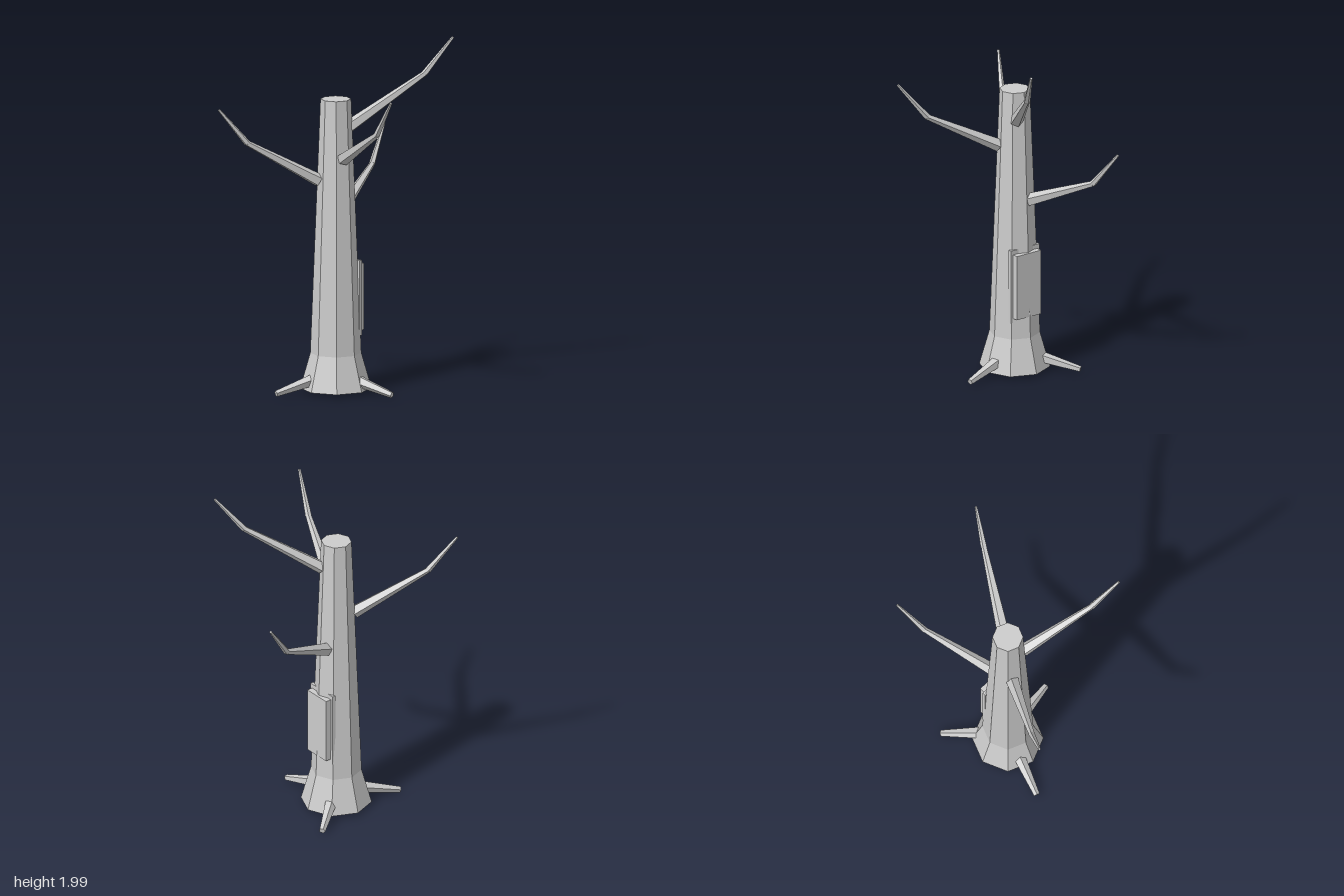
import * as THREE from 'three';

const CX = -0.028, CZ = -0.152; // trunk axis

export function createModel() {
  const model = new THREE.Group();
  model.name = 'deadTree';
  const bark = new THREE.MeshStandardMaterial({ color: 0xcccccc, flatShading: true });
  bark.name = 'pale grey';

  function add(parent, name, geometry, x, y, z) {
    const mesh = new THREE.Mesh(geometry, bark);
    mesh.name = name;
    mesh.position.set(x, y, z);
    parent.add(mesh);
    return mesh;
  }

  // Tapered five-sided limb between two points
  function limb(parent, name, from, to, r0, r1) {
    const a = new THREE.Vector3(...from), b = new THREE.Vector3(...to);
    const dir = b.clone().sub(a);
    const mid = a.clone().add(b).multiplyScalar(0.5);
    const mesh = add(parent, name, new THREE.CylinderGeometry(r1, r0, dir.length(), 5), mid.x, mid.y, mid.z);
    mesh.quaternion.setFromUnitVectors(new THREE.Vector3(0, 1, 0), dir.normalize());
  }

  // Eight-sided trunk with flared foot
  add(model, 'trunk', new THREE.CylinderGeometry(0.086, 0.143, 1.45, 8), CX, 0.951, CZ);
  add(model, 'trunkFlare', new THREE.CylinderGeometry(0.143, 0.2, 0.202, 8), CX, 0.125, CZ);

  // Bent branches: start, elbow, tip
  const branches = [
    [[0.04, 1.512, -0.113], [0.42, 1.79, 0.109], [0.565, 1.99, 0.192]],
    [[0.065, 1.03, -0.186], [0.457, 1.208, -0.33], [0.613, 1.41, -0.385]],
    [[-0.115, 1.215, -0.2], [-0.475, 1.452, -0.41], [-0.618, 1.652, -0.494]],
    [[-0.06, 1.348, -0.064], [-0.203, 1.565, 0.332], [-0.262, 1.774, 0.494]],
  ];
  branches.forEach(([start, elbow, tip], i) => {
    const branch = new THREE.Group();
    branch.name = 'branch' + (i + 1);
    limb(branch, 'lowerBranch', start, elbow, 0.038, 0.017);
    limb(branch, 'upperBranch', elbow, tip, 0.019, 0.008);
    model.add(branch);
  });

  // Roots spreading from the foot
  [[-0.941, -0.334], [0.761, -0.649], [0.18, 0.984]].forEach(([dx, dz], i) => {
    const at = (r, y) => [CX + dx * r, y, CZ + dz * r];
    limb(model, 'root' + (i + 1), at(0.13, 0.086), at(0.376, 0.025), 0.036, 0.018);
  });

  // Panel on the left side of the trunk, set on a larger backing board
  add(model, 'backingBoard', new THREE.BoxGeometry(0.02, 0.43, 0.205), 0.063, 0.54, -0.148);
  add(model, 'frontPanel', new THREE.BoxGeometry(0.0355, 0.38, 0.172), 0.09, 0.54, -0.148);

  return model;
}
